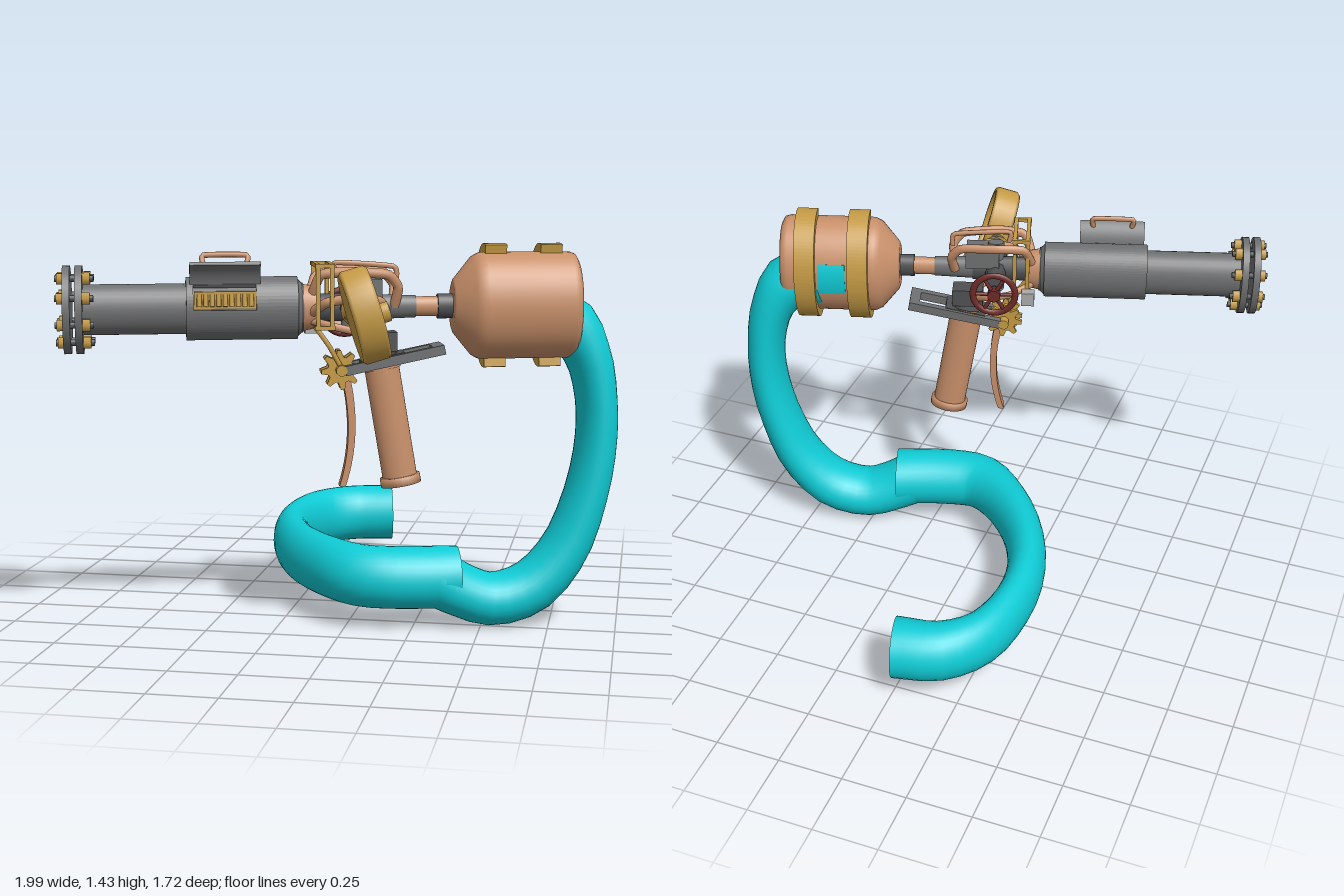
import * as THREE from 'three';

const mat = (color) => new THREE.MeshStandardMaterial({ color, side: THREE.DoubleSide });
const copper = mat(0xc8906a), steel = mat(0x6e6f70), dark = mat(0x505154), gold = mat(0xc49a45);
const teal = mat(0x10ccd6), red = mat(0x6b2a28), cream = mat(0xd8cabc), pale = mat(0xaaaaaa);
const V = (x, y, z = 0) => new THREE.Vector3(x, y, z);
const AXIS = 1.215, YAW = 0.302, Z0 = 0.415;

function add(parent, name, geo, material, x = 0, y = 0, z = 0) {
  const m = new THREE.Mesh(geo, material);
  m.name = name;
  m.position.set(x, y, z);
  parent.add(m);
  return m;
}
const box = (p, name, m, w, h, d, x, y, z) => add(p, name, new THREE.BoxGeometry(w, h, d), m, x, y, z);
// Cylinder along x
function xCyl(p, name, m, r0, r1, x0, x1, y = AXIS, z = 0, n = 32) {
  const g = new THREE.CylinderGeometry(r1, r0, x1 - x0, n).rotateZ(-Math.PI / 2);
  return add(p, name, g, m, (x0 + x1) / 2, y, z);
}
// Cylinder between two points
function rod(p, name, m, a, b, r0, r1 = r0, n = 20, open = false) {
  const o = add(p, name, new THREE.CylinderGeometry(r1, r0, a.distanceTo(b), n, 1, open), m);
  o.position.copy(a).add(b).multiplyScalar(0.5);
  o.quaternion.setFromUnitVectors(V(0, 1), b.clone().sub(a).normalize());
  return o;
}
function pipe(p, name, m, pts, r) {
  const c = new THREE.CatmullRomCurve3(pts.map((q) => V(...q)), false, 'catmullrom', 0.25);
  return add(p, name, new THREE.TubeGeometry(c, 28, r, 10), m);
}
// Curved shell about the x axis; angles run from the back (0) over the top to the front (PI)
function shell(p, name, m, r0, r1, a0, a1, len, x, y = AXIS) {
  const s = new THREE.Shape();
  s.absarc(0, 0, r1, a0, a1, false);
  s.absarc(0, 0, r0, a1, a0, true);
  const g = new THREE.ExtrudeGeometry(s, { depth: len, bevelEnabled: false, curveSegments: 28 });
  return add(p, name, g.translate(0, 0, -len / 2).rotateY(Math.PI / 2), m, x, y, 0);
}
// Hose swept along a curve; widths give the half-width in the plane of the bend
function hose(p, name, pts, widths, B) {
  const curve = new THREE.CatmullRomCurve3(pts), L = 26, R = 32, pos = [], idx = [];
  const ring = (t) => {
    const P = curve.getPoint(t), N = B.clone().cross(curve.getTangent(t)).normalize();
    const f = t * (widths.length - 1), i = Math.min(Math.floor(f), widths.length - 2);
    const w = THREE.MathUtils.lerp(widths[i], widths[i + 1], f - i);
    for (let j = 0; j < R; j++) {
      const a = (j / R) * Math.PI * 2;
      const q = P.clone().addScaledVector(N, w * Math.cos(a)).addScaledVector(B, 0.117 * Math.sin(a));
      pos.push(q.x, q.y, q.z);
    }
    return P;
  };
  for (let i = 0; i <= L; i++) ring(i / L);
  for (let i = 0; i < L; i++) for (let j = 0; j < R; j++) {
    const a = i * R + j, b = i * R + (j + 1) % R;
    idx.push(a, b, a + R, b, b + R, a + R);
  }
  for (const t of [0, 1]) {
    const s = pos.length / 3, P = ring(t);
    pos.push(P.x, P.y, P.z);
    for (let j = 0; j < R; j++) {
      const a = s + j, b = s + (j + 1) % R;
      if (t) idx.push(s + R, a, b); else idx.push(s + R, b, a);
    }
  }
  const g = new THREE.BufferGeometry();
  g.setAttribute('position', new THREE.Float32BufferAttribute(pos, 3));
  g.setIndex(idx);
  g.computeVertexNormals();
  return add(p, name, g, teal);
}

function buildBarrel(g) {
  xCyl(g, 'barrel', steel, 0.09, 0.09, -0.94, -0.14);
  for (const x of [-0.975, -0.932]) xCyl(g, 'muzzleFlange', steel, 0.157, 0.157, x - 0.013, x + 0.013);
  xCyl(g, 'muzzleHole', dark, 0.06, 0.06, -0.992, -0.98);
  for (let i = 0; i < 8; i++) {
    const a = (i + 0.5) * Math.PI / 4, y = AXIS + 0.122 * Math.sin(a), z = 0.122 * Math.cos(a);
    xCyl(g, 'flangeBolt', gold, 0.022, 0.022, -1.008, -0.988, y, z, 6);
    xCyl(g, 'flangeNut', gold, 0.024, 0.024, -0.919, -0.892, y, z, 6);
    xCyl(g, 'boltShank', dark, 0.012, 0.012, -1.015, -0.88, y, z, 10);
  }
  // Breech cover with an open loading window
  shell(g, 'coverFront', steel, 0.08, 0.113, 0, Math.PI * 2, 0.025, -0.545);
  shell(g, 'coverRear', steel, 0.08, 0.113, 0, Math.PI * 2, 0.15, -0.235);
  shell(g, 'coverMiddle', steel, 0.098, 0.113, -Math.PI, Math.PI - 0.9, 0.24, -0.42);
  box(g, 'cartridgeTray', gold, 0.22, 0.06, 0.03, -0.42, AXIS + 0.035, 0.08);
  for (let i = 0; i < 9; i++) rod(g, 'cartridge', gold, V(-0.512 + i * 0.023, AXIS + 0.012, 0.098), V(-0.512 + i * 0.023, AXIS + 0.055, 0.092), 0.009, 0.009, 8);
  // Raised lid, turned about its hinge on the top edge of the window
  const hinge = new THREE.Group(), A = Math.PI - 0.95;
  hinge.name = 'lid';
  hinge.position.set(-0.42, AXIS + 0.113 * Math.sin(A), -0.113 * Math.cos(A));
  hinge.rotation.x = -1.95;
  g.add(hinge);
  const lid = shell(hinge, 'lidShell', steel, 0.105, 0.117, A, Math.PI - 0.05, 0.25, 0, 0);
  lid.position.set(0, -0.113 * Math.sin(A), 0.113 * Math.cos(A));
  pipe(hinge, 'lidHandle', copper, [[-0.075, -0.06, 0.045], [-0.075, -0.06, 0.085], [0.075, -0.06, 0.085], [0.075, -0.06, 0.045]], 0.01);
  xCyl(g, 'coverCap', steel, 0.105, 0.085, -0.16, -0.14);
  xCyl(g, 'breechCollar', copper, 0.085, 0.075, -0.14, -0.095);
}

function buildTank(g) {
  const prof = [[0, 0.405], [0.085, 0.405], [0.1, 0.41], [0.18, 0.475], [0.193, 0.5], [0.195, 0.52], [0.195, 0.835], [0.188, 0.855], [0.17, 0.865], [0, 0.865]];
  const geo = new THREE.LatheGeometry(prof.map((q) => new THREE.Vector2(...q)), 40).rotateZ(-Math.PI / 2);
  add(g, 'tank', geo, copper, 0, AXIS, 0);
  for (const x of [0.56, 0.765]) shell(g, 'tankBand', gold, 0.185, 0.226, -1.78, 1.78, 0.08, x);
  shell(g, 'tankWindow', teal, 0.17, 0.199, -0.3, 0.35, 0.105, 0.662);
  xCyl(g, 'tankCollar', dark, 0.045, 0.045, 0.35, 0.41);
  xCyl(g, 'feedPipe', copper, 0.036, 0.036, 0.25, 0.36);
  xCyl(g, 'feedSleeve', steel, 0.046, 0.04, 0.1, 0.27);
}

function buildMechanism(g) {
  xCyl(g, 'valveBody', dark, 0.05, 0.05, -0.1, 0.12, AXIS, 0, 12);
  rod(g, 'crossValve', dark, V(0.03, AXIS, -0.15), V(0.03, AXIS, 0.2), 0.04, 0.04, 8);
  rod(g, 'valveNeck', steel, V(0.03, 1.12), V(0.03, 1.33), 0.032, 0.032, 8);
  box(g, 'valveHousing', steel, 0.13, 0.07, 0.14, 0.08, 1.28, -0.02);
  box(g, 'relayBox', pale, 0.05, 0.055, 0.05, -0.1, 1.14, -0.13);
  box(g, 'underBlock', dark, 0.12, 0.07, 0.1, 0.14, 1.09, 0);
  for (const z of [-0.1, 0.08]) {
    pipe(g, 'copperPipe', copper, [[-0.11, 1.26, z * 0.5], [-0.08, 1.335, z], [0.02, 1.345, z * 1.2], [0.16, 1.335, z], [0.2, 1.29, z * 0.8], [0.19, 1.22, z * 0.4]], 0.018);
    pipe(g, 'lowerPipe', copper, [[-0.11, 1.17, z * 0.6], [-0.03, 1.15, z * 1.3], [0.05, 1.13, z * 1.2], [0.1, 1.1, z * 0.6]], 0.014);
  }
  pipe(g, 'sidePipe', copper, [[-0.11, 1.2, 0.06], [-0.06, 1.24, 0.13], [0.06, 1.26, 0.16], [0.13, 1.24, 0.13], [0.16, 1.2, 0.03]], 0.018);
  // Gold bracket cage
  for (const x of [-0.095, -0.045]) for (const z of [-0.09, 0.15]) box(g, 'bracketPost', gold, 0.015, 0.23, 0.015, x, 1.26, z);
  for (const z of [-0.09, 0.15]) for (const y of [1.15, 1.37]) box(g, 'bracketBar', gold, 0.07, 0.015, 0.015, -0.07, y, z);
  for (const x of [-0.095, -0.045]) box(g, 'bracketTop', gold, 0.015, 0.015, 0.24, x, 1.37, 0.03);
  pipe(g, 'topRail', copper, [[-0.02, 1.33, 0], [-0.02, 1.375, 0], [0.19, 1.36, 0], [0.2, 1.31, 0]], 0.01);
  // Handwheel
  const w = new THREE.Group();
  w.name = 'handwheel';
  w.position.set(0.03, 1.185, -0.21);
  g.add(w);
  add(w, 'wheelRim', new THREE.TorusGeometry(0.082, 0.013, 10, 28), red);
  rod(w, 'wheelHub', red, V(0, 0, -0.025), V(0, 0, 0.025), 0.025);
  rod(w, 'wheelStem', dark, V(0, 0, 0), V(0, 0, 0.12), 0.013);
  for (let i = 0; i < 6; i++) {
    const a = i * Math.PI / 3;
    rod(w, 'wheelSpoke', red, V(0, 0), V(0.08 * Math.cos(a), 0.08 * Math.sin(a)), 0.008, 0.008, 8);
  }
  // Stem to the gauge
  rod(g, 'gaugeNut', steel, V(0.035, 1.215, 0.17), V(0.035, 1.215, 0.23), 0.05, 0.05, 6);
  rod(g, 'gaugeCone', gold, V(0.035, 1.215, 0.21), V(0.035, 1.215, 0.27), 0.055, 0.03);
  rod(g, 'gaugeStem', steel, V(0.035, 1.215, 0.26), V(0.035, 1.215, 0.33), 0.03);
}

function gauge(g, name, x, y, z, r, depth) {
  const d = new THREE.Group();
  d.name = name;
  d.position.set(x, y, z);
  d.rotation.set(0, Math.PI / 2, 0.28, 'ZYX');
  g.add(d);
  const h = depth / 2, k = r * 0.84;
  const prof = [[0, -h], [r * 0.92, -h], [r, -h * 0.75], [r, h * 0.8], [r * 0.96, h], [k, h], [k, h * 0.6]];
  add(d, 'gaugeCase', new THREE.LatheGeometry(prof.map((q) => new THREE.Vector2(...q)), 36).rotateX(Math.PI / 2), gold);
  const q = Math.PI / 2;
  [[red, 0, q], [cream, q, q], [pale, 2 * q, 2 * q]].forEach(([m, a, len]) =>
    add(d, 'dialSector', new THREE.CircleGeometry(k, 20, a, len), m, 0, 0, h * 0.62));
  box(d, 'needle', red, k * 0.8, r * 0.04, 0.004, -k * 0.28, k * 0.25, h * 0.7).rotation.z = -0.75;
  rod(d, 'needleHub', dark, V(0, 0, h * 0.6), V(0, 0, h * 0.8), r * 0.07);
}

function buildGrip(g) {
  const top = V(0.14, 1.04), end = V(0.218, 0.575), dir = end.clone().sub(top).normalize();
  const at = (s) => end.clone().addScaledVector(dir, -s);
  rod(g, 'grip', copper, end, top, 0.064, 0.064, 24, true);
  rod(g, 'gripFloor', dark, at(0.03), at(0.035), 0.06);
  const ring = add(g, 'gripRim', new THREE.LatheGeometry([[0.05, -0.015], [0.075, -0.015], [0.075, 0.018], [0.05, 0.018], [0.05, -0.015]].map((q) => new THREE.Vector2(...q)), 24), copper);
  ring.position.copy(end);
  ring.quaternion.setFromUnitVectors(V(0, -1), dir);
  rod(g, 'gripCollar', copper, at(0.42), at(0.45), 0.07);
  // Forked frame carrying the trigger
  const f = new THREE.Group();
  f.name = 'triggerFrame';
  f.position.set(0.19, 1.025, 0);
  f.rotation.z = 0.2;
  g.add(f);
  for (const z of [-0.065, 0.065]) box(f, 'frameBar', steel, 0.37, 0.035, 0.035, 0, 0, z);
  box(f, 'frameEnd', steel, 0.04, 0.035, 0.16, 0.165, 0, 0);
  box(f, 'framePlate', dark, 0.16, 0.03, 0.13, -0.04, 0.005, 0);
  // Toothed wheel
  const s = new THREE.Shape();
  for (let i = 0; i < 32; i++) {
    const a = (i / 32) * Math.PI * 2, r = i % 4 < 2 ? 0.072 : 0.048;
    i ? s.lineTo(r * Math.cos(a), r * Math.sin(a)) : s.moveTo(r, 0);
  }
  for (const z of [-0.04, 0.025]) add(g, 'toothedWheel', new THREE.ExtrudeGeometry(s, { depth: 0.02, bevelEnabled: false }), gold, -0.005, 0.99, z);
  rod(g, 'wheelAxle', gold, V(-0.005, 0.99, -0.085), V(-0.005, 0.99, 0.085), 0.02);
  pipe(g, 'linkRod', gold, [[-0.1, 1.15, 0.06], [-0.05, 1.08, 0.06], [-0.005, 1.0, 0.05]], 0.009);
  // Curved trigger
  const t = new THREE.Shape();
  t.moveTo(0, 0.96);
  t.quadraticCurveTo(0.05, 0.75, -0.01, 0.56);
  t.lineTo(0.013, 0.56);
  t.quadraticCurveTo(0.075, 0.75, 0.03, 0.96);
  add(g, 'trigger', new THREE.ExtrudeGeometry(t, { depth: 0.06, bevelEnabled: false, curveSegments: 14 }), copper, 0, 0, -0.03);
}

export function createModel() {
  const root = new THREE.Group(), gun = new THREE.Group();
  root.name = 'hoseBlaster';
  gun.name = 'blaster';
  gun.position.z = Z0;
  gun.rotation.y = YAW;
  gun.scale.z = 0.74;
  root.add(gun);
  buildBarrel(gun);
  buildTank(gun);
  buildMechanism(gun);
  gauge(gun, 'pressureGauge', 0.04, 1.215, 0.455, 0.165, 0.1);
  gauge(gun, 'smallGauge', 0.13, 1.205, 0.2, 0.036, 0.05);
  buildGrip(gun);

  // Hanging loop of the hose, in the vertical plane of the blaster
  const c = Math.cos(YAW), s = Math.sin(YAW);
  const loop = [[0.72, 1.17], [0.84, 1.145], [0.92, 1.03], [0.957, 0.87], [0.96, 0.7], [0.925, 0.5], [0.845, 0.29], [0.72, 0.15], [0.57, 0.107], [0.45, 0.145], [0.35, 0.2]];
  hose(root, 'hoseLoop', loop.map(([u, y]) => V(u * c - 0.025 * s, y, Z0 - u * s - 0.025 * c)),
    [0.115, 0.11, 0.085, 0.075, 0.075, 0.08, 0.09, 0.1, 0.1, 0.1, 0.11], V(s, 0, c));
  // Hose lying on the ground and curling to the back
  const floor = [[0.41, 0.258], [0.2, 0.325], [0.06, 0.335], [-0.08, 0.24], [-0.23, 0.05], [-0.32, -0.18], [-0.332, -0.4], [-0.28, -0.6], [-0.16, -0.715], [0, -0.752]];
  hose(root, 'hoseFloor', floor.map(([x, z], i) => V(x, 0.195 + Math.min(i, 5) * 0.004, z)),
    [0.117, 0.117, 0.11, 0.09, 0.08, 0.075, 0.075, 0.085, 0.105, 0.115], V(0, 1, 0));
  return root;
}
